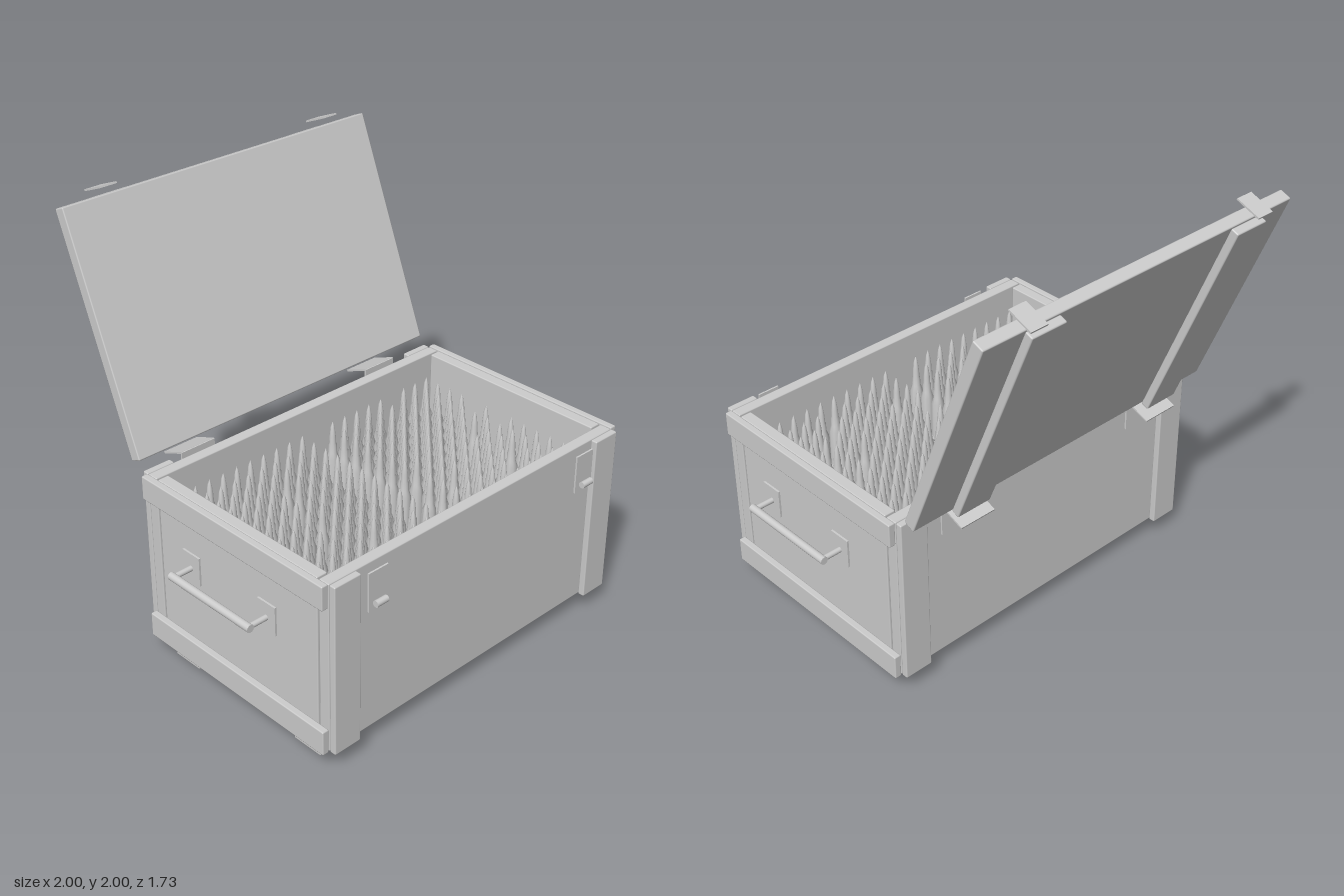
import * as THREE from 'three';
import { mergeGeometries } from 'three/addons/utils/BufferGeometryUtils.js';
import { RoundedBoxGeometry } from 'three/addons/geometries/RoundedBoxGeometry.js';

const grey = new THREE.MeshStandardMaterial({ color: 0xcccccc });
grey.name = 'plain grey';

// Box given by its minimum and maximum on each axis, with slightly eased edges
function block(parent, name, [x0, x1], [y0, y1], [z0, z1], bevel = 0.006) {
  const w = x1 - x0, h = y1 - y0, d = z1 - z0;
  const geo = bevel ? new RoundedBoxGeometry(w, h, d, 1, bevel) : new THREE.BoxGeometry(w, h, d);
  const mesh = new THREE.Mesh(geo, grey);
  mesh.name = name;
  mesh.position.set((x0 + x1) / 2, (y0 + y1) / 2, (z0 + z1) / 2);
  parent.add(mesh);
  return mesh;
}

// Range mirrored to the given side of x = 0
const side = (s, a, b) => (s > 0 ? [a, b] : [-b, -a]);

function rod(parent, name, from, to, radius) {
  const a = new THREE.Vector3(...from), b = new THREE.Vector3(...to);
  const mesh = new THREE.Mesh(new THREE.CylinderGeometry(radius, radius, a.distanceTo(b), 14), grey);
  mesh.name = name;
  mesh.position.copy(a).lerp(b, 0.5);
  mesh.quaternion.setFromUnitVectors(new THREE.Vector3(0, 1, 0), b.sub(a).normalize());
  parent.add(mesh);
}

function buildCrate() {
  const crate = new THREE.Group();
  crate.name = 'crate';
  // Walls, bottom and inner tray
  block(crate, 'frontWall', [-0.845, 0.845], [0.09, 0.9], [0.738, 0.793]);
  block(crate, 'backWall', [-0.845, 0.845], [0.09, 0.9], [-0.302, -0.247]);
  block(crate, 'bottom', [-0.8, 0.8], [0.09, 0.14], [-0.25, 0.74], 0);
  for (const s of [1, -1]) {
    block(crate, 'endWall', side(s, 0.79, 0.845), [0.09, 0.9], [-0.238, 0.729]);
    block(crate, 'tray', side(s, 0.002, 0.795), [0.42, 0.45], [-0.25, 0.74], 0);
    // Horizontal rails on the ends
    for (const y of [[0.79, 0.903], [0.088, 0.205]])
      block(crate, 'endRail', side(s, 0.847, 0.88), y, [-0.304, 0.793]);
    // Upright corner battens
    block(crate, 'frontBatten', side(s, 0.705, 0.845), [0.09, 0.9], [0.795, 0.827]);
    block(crate, 'backBatten', side(s, 0.705, 0.845), [0.09, 0.9], [-0.336, -0.304]);
    // Latch plate and catch
    block(crate, 'latchPlate', side(s, 0.568, 0.673), [0.705, 0.885], [0.827, 0.835], 0);
    rod(crate, 'latchCatch', [s * 0.592, 0.743, 0.85], [s * 0.652, 0.743, 0.85], 0.015);
    // Lower hinge leaf
    block(crate, 'hingeLeaf', side(s, 0.457, 0.637), [0.75, 0.9], [-0.345, -0.337], 0);
    // Carrying handle
    const x = s * 0.982;
    for (const z of [0.015, 0.48]) {
      block(crate, 'handlePlate', side(s, 0.88, 0.889), [0.54, 0.675], [z - 0.052, z + 0.053], 0);
      rod(crate, 'handleLeg', [s * 0.885, 0.605, z], [x, 0.605, z], 0.0125);
    }
    rod(crate, 'handleBar', [x, 0.605, 0], [x, 0.605, 0.495], 0.018);
  }
  // Runners underneath
  for (const z of [[0.555, 0.712], [-0.217, -0.058]])
    block(crate, 'runner', [-0.82, 0.82], [0, 0.09], z);
  return crate;
}

function buildLid() {
  // Local y runs up the lid, local -z through its thickness
  const lid = new THREE.Group();
  lid.name = 'lid';
  block(lid, 'lidPanel', [-0.845, 0.845], [0, 1.092], [-0.058, 0]);
  for (const s of [1, -1]) {
    block(lid, 'lidBatten', side(s, 0.47, 0.645), [0.002, 1.09], [-0.1, -0.06]);
    block(lid, 'upperHingeLeaf', side(s, 0.457, 0.637), [-0.045, -0.037], [-0.13, 0], 0);
    block(lid, 'lidLatch', side(s, 0.578, 0.663), [1.122, 1.13], [-0.095, 0.027], 0);
  }
  lid.position.set(0, 0.936, -0.357);
  lid.rotation.x = -0.381;
  return lid;
}

function buildRounds() {
  // Necked, pointed profile standing on the tray
  const profile = [[0, 0], [0.036, 0], [0.036, 0.012], [0.03, 0.018], [0.033, 0.024], [0.03, 0.2],
    [0.02, 0.23], [0.019, 0.27], [0.016, 0.275], [0.015, 0.31], [0.009, 0.36], [0, 0.385]]
    .map(([r, y]) => new THREE.Vector2(r, y));
  const base = new THREE.LatheGeometry(profile, 10);
  // Empty places as row-column, one list per half
  const gaps = [
    ['3-4', '4-4', '7-3', '10-4'],
    ['0-5', '4-8', '6-6', '6-8', '7-0', '9-1', '9-6', '10-5'],
  ];
  const group = new THREE.Group();
  group.name = 'pointedRounds';
  [-0.7, 0.09].forEach((startX, half) => {
    const parts = [];
    for (let row = 0; row < 12; row++)
      for (let col = 0; col < 9; col++) {
        if (gaps[half].includes(`${row}-${col}`)) continue;
        parts.push(base.clone().rotateY(row * 1.7 + col * 2.3)
          .translate(startX + col * 0.0758, 0.45, -0.175 + row * 0.0755));
      }
    const mesh = new THREE.Mesh(mergeGeometries(parts), grey);
    mesh.name = half ? 'leftRounds' : 'rightRounds';
    group.add(mesh);
  });
  return group;
}

export function createModel() {
  const model = new THREE.Group();
  model.name = 'openCrate';
  model.add(buildCrate(), buildLid(), buildRounds());
  return model;
}
